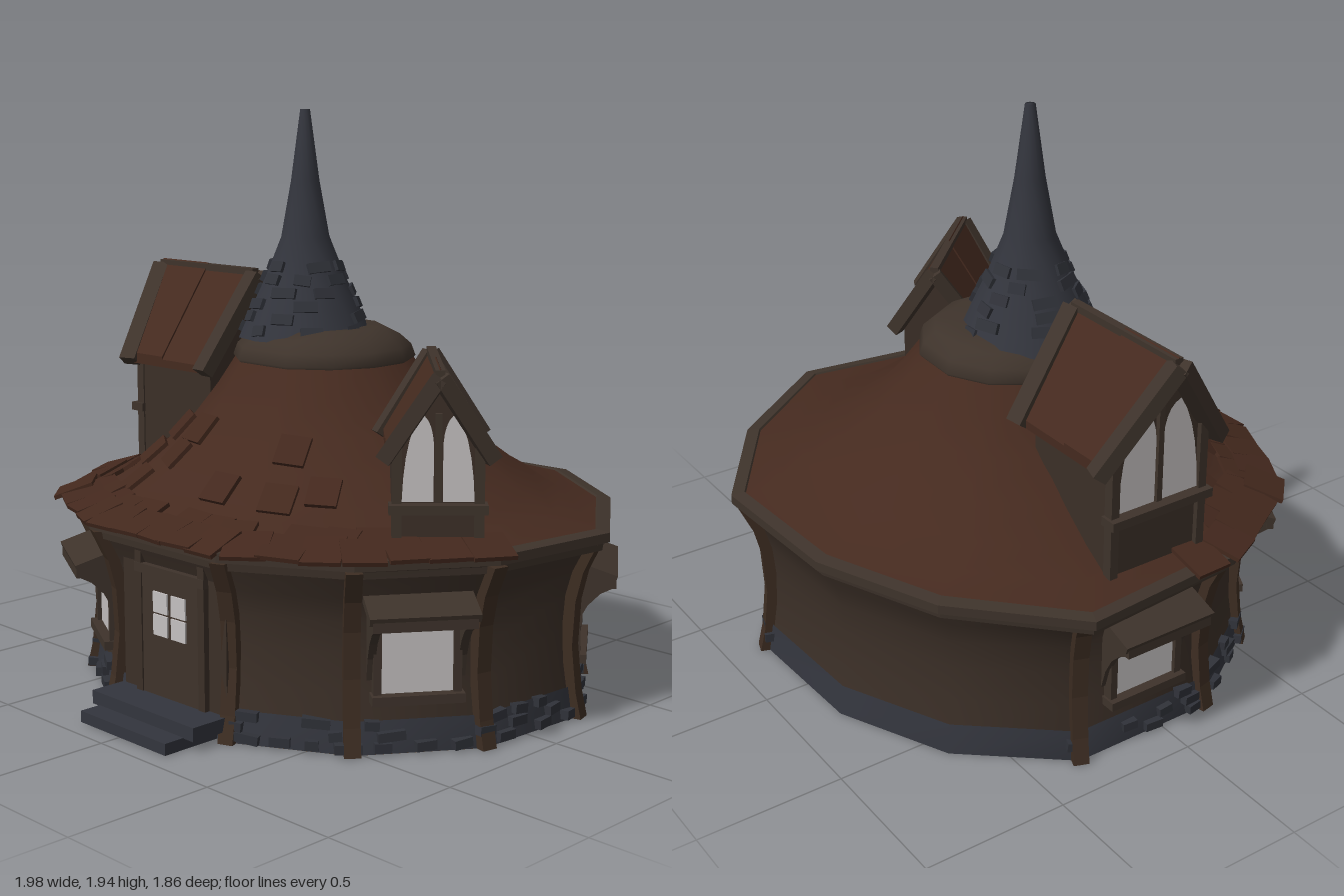
import * as THREE from 'three';

const mat = (name, color, side = THREE.FrontSide) => Object.assign(new THREE.MeshStandardMaterial({ color, side }), { name });

export function createModel() {
  const root = new THREE.Group();
  root.name = 'cottage';
  const M = {
    roof: mat('roofRed', 0x452a1f, THREE.DoubleSide), shingle: mat('shingleRed', 0x43281d),
    wall: mat('wallBrown', 0x3b2f27, THREE.DoubleSide), trim: mat('trimBrown', 0x3e332b),
    post: mat('postBrown', 0x3d2d22), stone: mat('stone', 0x33353d),
    brick: mat('brick', 0x2f3138), glass: mat('glass', 0xc4c0c0, THREE.DoubleSide),
    floor: mat('floorBrown', 0x5e4630),
  };
  let seed = 7;
  const rnd = (a, b) => a + (b - a) * ((seed = (seed * 16807) % 2147483647) / 2147483647);
  const rad = d => d * Math.PI / 180;

  const add = (parent, name, geo, m) => {
    const mesh = new THREE.Mesh(geo, m);
    mesh.name = name;
    parent.add(mesh);
    return mesh;
  };
  const box = (parent, name, m, w, h, d, x, y, z) => {
    const b = add(parent, name, new THREE.BoxGeometry(w, h, d), m);
    b.position.set(x, y, z);
    return b;
  };
  // Skin over closed cross-sections, listed from bottom to top
  const loft = (rings, caps = true, smooth = false) => {
    const n = rings[0].length, idx = [], top = (rings.length - 1) * n;
    for (let i = 0; i < rings.length - 1; i++) for (let j = 0; j < n; j++) {
      const a = i * n + j, b = i * n + (j + 1) % n;
      idx.push(a, b, b + n, a, b + n, a + n);
    }
    if (caps) for (let j = 1; j < n - 1; j++) idx.push(0, j + 1, j, top, top + j, top + j + 1);
    let g = new THREE.BufferGeometry();
    g.setAttribute('position', new THREE.Float32BufferAttribute(rings.flat(2), 3));
    g.setIndex(idx);
    if (!smooth) g = g.toNonIndexed();
    g.computeVertexNormals();
    return g;
  };
  // Square bar between two points
  const beam = (parent, name, m, a, b, w, h) => {
    const p = new THREE.Vector3(...a), q = new THREE.Vector3(...b);
    const bar = box(parent, name, m, w, h, p.distanceTo(q), 0, 0, 0);
    bar.position.copy(p).add(q).multiplyScalar(0.5);
    bar.quaternion.setFromRotationMatrix(new THREE.Matrix4().lookAt(p, q, new THREE.Vector3(0, 1, 0)));
    return bar;
  };

  // Twelve-sided plan: angle from the front, wall radius, eave radius
  const ANG = [21, 50, 78, 105, 134, 162, 194, 222, 249, 282, 310, 339];
  const WALL = [.73, .78, .85, .89, .84, .86, .82, .84, .88, .84, .79, .74];
  const EAVE = [.84, .88, .95, 1.025, .965, .98, .93, .97, 1.065, .97, .93, .85];
  const corner = (R, i, off, y) => {
    const a = rad(ANG[i % 12]), r = R[i % 12] + off;
    return [Math.sin(a) * r, y, Math.cos(a) * r];
  };
  const ring = (R, off, y) => ANG.map((_, i) => corner(R, i, off, y));
  const onPlan = (R, deg, off, y) => {
    const d = ((deg - 21) % 360 + 360) % 360;
    let i = 11;
    while (ANG[i] - 21 > d) i--;
    const end = i === 11 ? 360 : ANG[i + 1] - 21;
    const k = (d - ANG[i] + 21) / (end - ANG[i] + 21);
    const p = corner(R, i, off, y), q = corner(R, i + 1, off, y);
    return p.map((v, j) => v + (q[j] - v) * k);
  };

  // Walls, stone footing, floor
  add(root, 'floor', loft([ring(WALL, .038, .011), ring(WALL, .038, .016)]), M.floor);
  add(root, 'stoneFooting', loft([ring(WALL, .04, .012), ring(WALL, .024, .115)], false, true), M.stone);
  const flare = [[.1, .02], [.2, .005], [.32, 0], [.42, .008], [.5, .03], [.6, .08]];
  add(root, 'walls', loft(flare.map(([y, o]) => ring(WALL, o, y)), false, true), M.wall);

  // Curved corner posts; the back wall has none
  const postCurve = [[.012, .062], [.1, .042], [.25, .026], [.4, .034], [.5, .058], [.6, .105]];
  ANG.forEach((deg, i) => {
    if (deg === 194 || deg === 222) return;
    const c = Math.cos(rad(deg)), s = Math.sin(rad(deg));
    const sections = postCurve.map(([y, o]) => [[o, -1], [o, 1], [o - .1, 1], [o - .1, -1]].map(([q, t]) => {
      const p = corner(WALL, i, q, y);
      return [p[0] + c * t * .026, y, p[2] - s * t * .026];
    }));
    add(root, 'cornerPost', loft(sections), M.post);
  });

  // Footing bricks
  for (let row = 0; row < 3; row++) for (let deg = -112; deg < 165; deg += rnd(6, 13)) {
    if (Math.abs(deg) < 18 || rnd(0, 1) < .3) continue;
    const y = .035 + row * .034;
    const b = box(root, 'footingBrick', M.brick, rnd(.04, .09), .03, .045, ...onPlan(WALL, deg, .034 - row * .006, y));
    b.rotation.set(0, rad(deg), rnd(-.12, .12));
  }

  // Group standing on one wall face, +z pointing outwards
  const onFace = (i, name) => {
    const p = corner(WALL, i, 0, 0), q = corner(WALL, i + 1, 0, 0);
    const g = new THREE.Group();
    g.name = name;
    g.position.set((p[0] + q[0]) / 2, 0, (p[2] + q[2]) / 2);
    g.rotation.y = Math.atan2(p[2] - q[2], q[0] - p[0]);
    root.add(g);
    return g;
  };

  // Windows with sill, hood and curved brackets
  const bracket = new THREE.Shape();
  bracket.moveTo(0, .24);
  bracket.quadraticCurveTo(.03, .4, .14, .435);
  bracket.lineTo(.14, .46);
  bracket.lineTo(0, .5);
  const bracketGeo = new THREE.ExtrudeGeometry(bracket, { depth: .025, bevelEnabled: false, curveSegments: 4 });
  for (const [i, w] of [[1, .24], [3, .29], [8, .25], [10, .24]]) {
    const g = onFace(i, 'window');
    box(g, 'pane', M.glass, w, .24, .008, 0, .315, .022);
    box(g, 'sill', M.trim, w + .05, .03, .06, 0, .185, .03);
    for (const s of [-1, 1]) {
      box(g, 'jamb', M.trim, .025, .25, .04, s * (w / 2 + .005), .315, .02);
      const b = add(g, 'bracket', bracketGeo, M.trim);
      b.rotation.y = -Math.PI / 2;
      b.position.set(s * (w / 2 + .022) + .0125, 0, .01);
    }
    const hood = box(g, 'hood', M.trim, w + .1, .025, .16, 0, .488, .075);
    hood.rotation.x = .32;
    box(g, 'hoodEdge', M.trim, w + .08, .04, .025, 0, .45, .138);
  }

  // Door and steps
  const door = onFace(11, 'door');
  door.position.x = .025;
  box(door, 'doorSurround', M.wall, .44, .5, .03, 0, .33, .015);
  box(door, 'doorLeaf', M.trim, .27, .41, .03, 0, .29, .035);
  for (const s of [-1, 1]) {
    box(door, 'doorJamb', M.wall, .03, .5, .05, s * .15, .33, .03);
    box(door, 'sidePlank', M.wall, .09, .5, .02, s * .2, .33, .025);
    for (const y of [.33, .405]) box(door, 'doorPane', M.glass, .068, .068, .008, s * .043, y, .052);
  }
  box(door, 'doorLintel', M.trim, .33, .03, .045, 0, .505, .035);
  box(root, 'upperStep', M.stone, .5, .045, .26, .02, .07, .725);
  box(root, 'lowerStep', M.stone, .42, .038, .3, .015, .031, .78);

  // Eave board and swept roof
  add(root, 'eaveBoard', loft([ring(EAVE, -.16, .585), ring(EAVE, -.025, .575), ring(EAVE, -.02, .605),
    ring(EAVE, 0, .605), ring(EAVE, 0, .636), ring(EAVE, -.045, .643), ring(EAVE, -.07, .61)], false), M.trim);
  const sweep = [[0, .636], [.2, .668], [.36, .725], [.55, .81], [.74, .912], [.88, 1.015], [1, 1.12]];
  const roofAt = (deg, t) => {
    let k = 0;
    while (k < 5 && sweep[k + 1][0] < t) k++;
    const [t0, y0] = sweep[k], [t1, y1] = sweep[k + 1];
    const e = onPlan(EAVE, deg, -.045, 0), a = rad(deg);
    return new THREE.Vector3(
      e[0] * (1 - t) + t * (-.08 + .3 * Math.sin(a)),
      y0 + (y1 - y0) * (t - t0) / (t1 - t0),
      e[2] * (1 - t) + t * (-.055 + .3 * Math.cos(a)));
  };
  add(root, 'roof', loft(sweep.map(([t]) => ANG.map(d => roofAt(d, t).toArray())), false, true), M.roof);

  // Shingles: two rows along the front eave, then scattered ones
  const shingle = (deg, t, w, d, tilt, lift) => {
    const p = roofAt(deg, t);
    const u = roofAt(deg + 2, t).sub(roofAt(deg - 2, t)).normalize();
    const v = roofAt(deg, t + .03).sub(roofAt(deg, t - .03)).normalize();
    const n = u.clone().cross(v).normalize();
    const b = box(root, 'shingle', M.shingle, w, .014, d, 0, 0, 0);
    b.quaternion.setFromRotationMatrix(new THREE.Matrix4().makeBasis(u, n, u.clone().cross(n)));
    b.rotateY(rnd(-.12, .12));
    b.rotateX(tilt);
    b.position.copy(p).addScaledVector(n, lift);
  };
  for (let deg = -84; deg < 84; deg += 8.5) {
    shingle(deg, .01, rnd(.12, .15), .14, rnd(-.02, .1), .016);
    if (rnd(0, 1) > .3) shingle(deg + 4, .14, rnd(.1, .13), .12, rnd(0, .12), .012);
  }
  for (const [deg, t] of [[-21, .7], [-45, .66], [8, .42], [32, .66], [44, .45], [30, .4], [-25, .55],
    [-46, .48], [-61, .3], [-70, .38], [-35, .33], [70, .28]])
    shingle(deg, t, rnd(.1, .13), .11, .04, .008);

  // Collar follows the roof's own corners
  const collar = [[.3, 1.095], [.315, 1.115], [.3, 1.155], [.26, 1.19], [.2, 1.22]];
  add(root, 'collar', loft(collar.map(([r, y]) =>
    ANG.map(d => [-.08 + Math.sin(rad(d)) * r, y, -.055 + Math.cos(rad(d)) * r])), true, true), M.trim);

  // Spire with loose bricks
  const spire = [[.235, 1.18], [.19, 1.28], [.14, 1.385], [.085, 1.52], [.05, 1.71], [.017, 1.95], [0, 1.95]];
  add(root, 'spire', new THREE.LatheGeometry(spire.map(p => new THREE.Vector2(...p)), 12), M.stone)
    .position.set(-.14, 0, -.025);
  for (let row = 0; row < 6; row++) for (let deg = row * 23; deg < 335 + row * 23; deg += rnd(40, 95)) {
    const y = 1.21 + row * .042, r = .225 - (y - 1.18) * .46, a = rad(deg);
    const b = box(root, 'spireBrick', M.brick, rnd(.05, .09), .036, .03, -.14 + Math.sin(a) * r, y, -.025 + Math.cos(a) * r);
    b.rotation.set(-.4, a, rnd(-.15, .15), 'YXZ');
  }

  // Dormers: ridge runs along local z, from ridge back to ridge front
  const dormer = (name, ang, ox, oz, o) => {
    const g = new THREE.Group();
    g.name = name;
    g.position.set(ox, 0, oz);
    g.rotation.y = rad(ang);
    root.add(g);
    const { rB, rF, eB, eF, half, yR, yE, y0, hw, front, win, winH, board } = o;
    const yW = yR - (yR - yE) * hw / half - .02;
    const gable = new THREE.Shape([[-hw, y0], [hw, y0], [hw, yW], [0, yR - .025], [-hw, yW]].map(p => new THREE.Vector2(...p)));
    add(g, 'dormerWall', new THREE.ExtrudeGeometry(gable, { depth: front - eB - .02, bevelEnabled: false }), M.wall)
      .position.z = eB + .02;
    for (const s of [-1, 1]) {
      const quad = dy => {
        const q = [[0, yR + dy, rF], [s * half, yE + dy, eF], [s * half, yE + dy, eB], [0, yR + dy, rB]];
        return s > 0 ? q : q.reverse();
      };
      add(g, 'dormerRoof', loft([quad(-.03), quad(-.002)]), M.roof);
      // Raised half panel leaves a seam across the slope
      const m = (rB + rF) / 2, panel = dy => {
        const q = [[0, yR + dy, rF], [s * half, yE + dy, eF], [s * half, yE + dy, m], [0, yR + dy, m]];
        return s > 0 ? q : q.reverse();
      };
      add(g, 'dormerRoofPanel', loft([panel(-.01), panel(.008)]), M.roof);
      for (const [r, e] of [[rF, eF], [rB, eB]])
        beam(g, 'rakeBoard', M.trim, [0, yR - .018, r], [s * (half + .01), yE - .025, e], board, .048);
      box(g, 'dormerPost', M.trim, .03, yW - y0, .035, s * (hw - .01), (yW + y0) / 2, front);
      // Leaning pointed pane
      const a = .014, b = hw - .025, pane = new THREE.Shape();
      pane.moveTo(s * a, win);
      pane.lineTo(s * b, win);
      pane.quadraticCurveTo(s * b * .95, win + winH * .7, s * b * .5, win + winH);
      pane.quadraticCurveTo(s * a * 1.4, win + winH * .95, s * a, win + winH * .65);
      add(g, 'dormerPane', new THREE.ShapeGeometry(pane, 5), M.glass).position.z = front + .008;
    }
    beam(g, 'ridgeBeam', M.trim, [0, yR - .008, rB], [0, yR - .008, rF], .03, .024);
    box(g, 'mullion', M.trim, .02, winH, .02, 0, win + winH / 2, front + .006);
    box(g, 'dormerSill', M.trim, hw * 2 + .03, .03, .06, 0, win - .02, front + .01);
  };
  dormer('leftDormer', -90, 0, -.05, { rB: .42, rF: .93, eB: .445, eF: .85, half: .225, yR: 1.385, yE: 1.06,
    y0: .66, hw: .18, front: .85, win: .88, winH: .33, board: .065 });
  dormer('rightDormer', 45, .233, -.233, { rB: .29, rF: .8, eB: .355, eF: .755, half: .155, yR: 1.195, yE: .945,
    y0: .68, hw: .135, front: .74, win: .79, winH: .27, board: .045 });

  return root;
}
